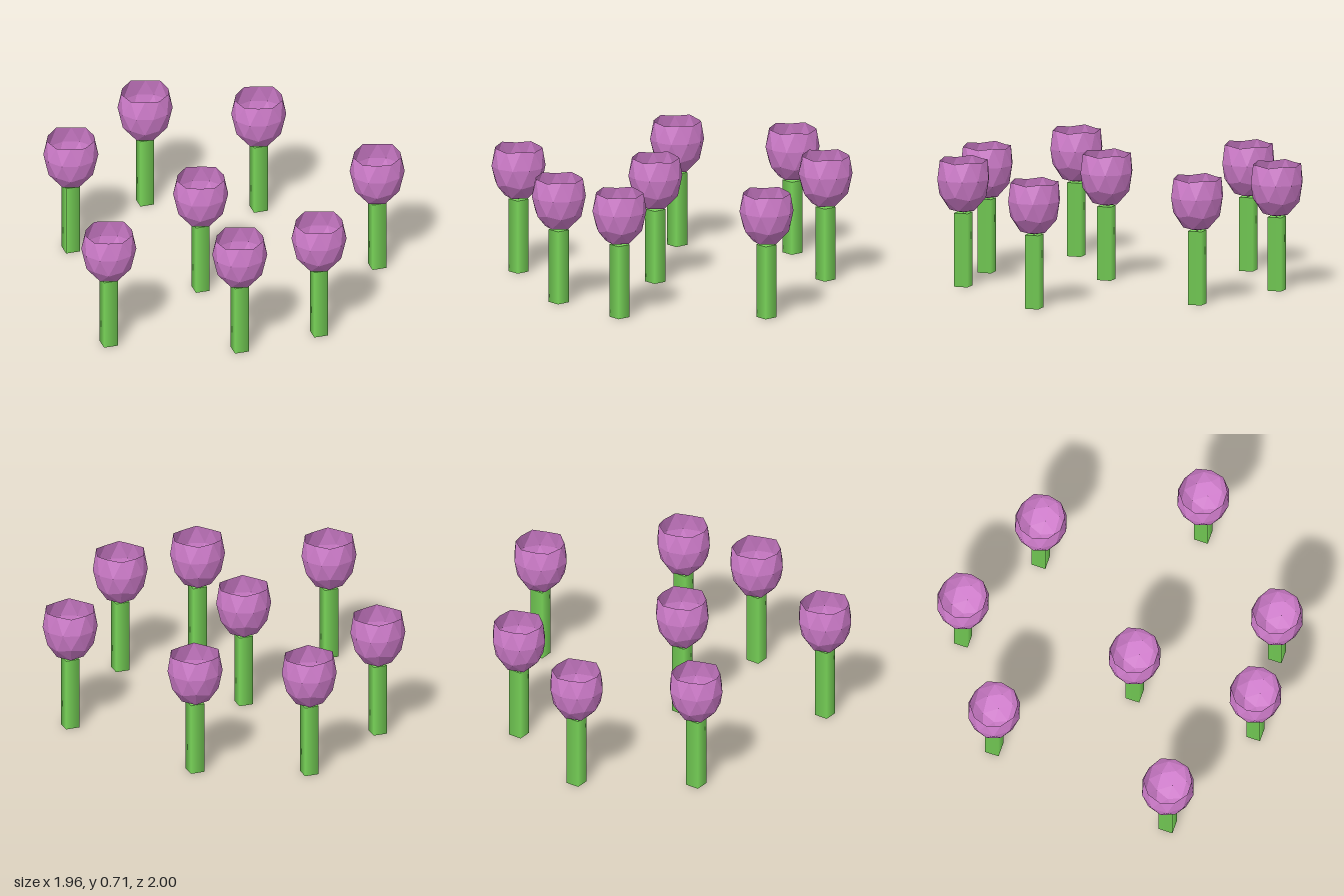
import * as THREE from 'three';

const petal = new THREE.MeshStandardMaterial({ color: 0xd07dcc, flatShading: true, side: THREE.DoubleSide });
petal.name = 'petal pink';
const green = new THREE.MeshStandardMaterial({ color: 0x78d458 });
green.name = 'stem green';

// Ring of n points; radius and height alternate between even and odd points
function ring(n, offset, even, odd = even) {
  return Array.from({ length: n }, (_, k) => {
    const [r, y] = k % 2 ? odd : even;
    const a = offset + (k * Math.PI * 2) / n;
    return [r * Math.cos(a) * 1.015, y, r * Math.sin(a) * 0.985];
  });
}

// Faceted open cup: a triangulated ball with its top cut away
function cupGeometry() {
  const pole = [0, 0.412, 0];
  const floor = ring(5, 0, [0.077, 0.428]).map((p) => [p[0], 0.428, p[2]]);
  const lower = ring(10, 0, [0.133, 0.512], [0.127, 0.495]);
  const middle = ring(10, Math.PI / 10, [0.15, 0.602]);
  const rim = ring(10, 0, [0.132, 0.699], [0.136, 0.71]);
  const pos = [];
  const tri = (...corners) => corners.forEach((c) => pos.push(...c));

  for (let i = 0; i < 5; i++) {
    const a = floor[i], b = floor[(i + 1) % 5];
    const m = lower[2 * i + 1];
    tri(pole, a, b);
    tri(a, lower[2 * i], m);
    tri(a, m, b);
    tri(b, m, lower[(2 * i + 2) % 10]);
  }
  for (let k = 0; k < 10; k++) {
    const n = (k + 1) % 10;
    tri(lower[k], middle[k], lower[n]);
    tri(lower[n], middle[k], middle[n]);
    tri(middle[k], rim[n], middle[n]);
    tri(middle[k], rim[k], rim[n]);
  }
  const g = new THREE.BufferGeometry();
  g.setAttribute('position', new THREE.Float32BufferAttribute(pos, 3));
  g.computeVertexNormals();
  return g;
}

export function createModel() {
  const model = new THREE.Group();
  model.name = 'flowerPatch';

  const cup = cupGeometry();
  // Square stem with softened shading
  const h = 0.412;
  const stem = new THREE.CylinderGeometry(0.0563, 0.0563, h, 4);
  stem.rotateY(Math.PI / 4).translate(0, h / 2, 0);

  const spots = [
    [-0.17, -0.852], [0.405, -0.595], [-0.718, -0.485], [-0.17, 0.147],
    [0.833, 0.205], [-0.837, 0.567], [-0.17, 0.85], [0.3, 0.815],
  ];
  for (const [x, z] of spots) {
    const flower = new THREE.Group();
    flower.name = 'flower';
    const stemMesh = new THREE.Mesh(stem, green);
    stemMesh.name = 'stem';
    const cupMesh = new THREE.Mesh(cup, petal);
    cupMesh.name = 'petalCup';
    flower.add(stemMesh, cupMesh);
    flower.position.set(x, 0, z);
    model.add(flower);
  }
  return model;
}
